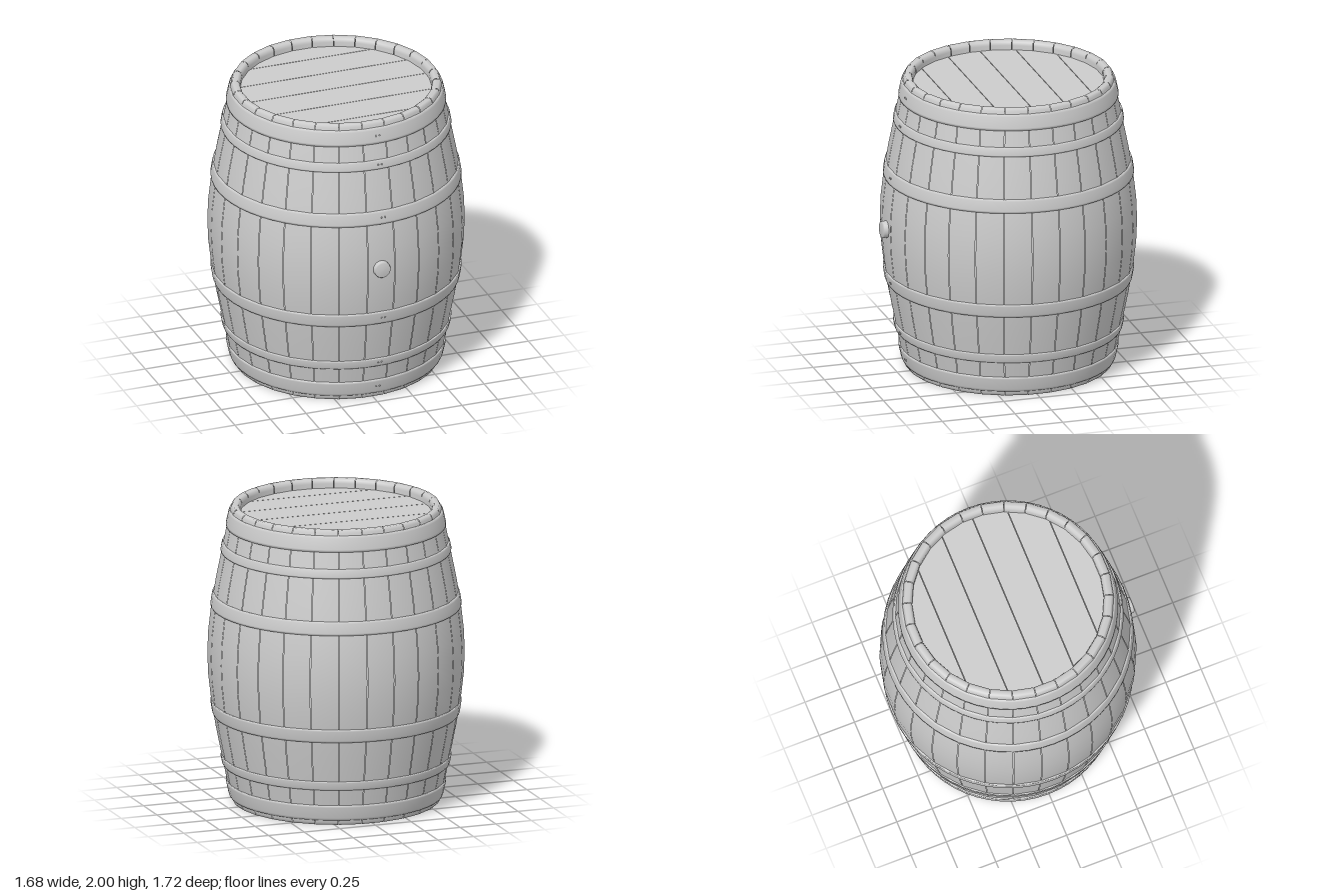
import * as THREE from 'three';

const STAVES = 28;
const LID_R = 0.635;
const AXIS_Z = -0.015;

// Outer stave radius by height: [y, radius], lower half mirrored to the upper half
const half = [[0.02, 0.692], [0.14, 0.718], [0.3, 0.75], [0.5, 0.79], [0.7, 0.822], [0.85, 0.839], [1, 0.845]];
const curve = [...half, ...half.slice(0, -1).reverse().map(([y, r]) => [2 - y, r])];

function radiusAt(y) {
  const i = Math.max(1, curve.findIndex(([cy]) => cy >= y));
  const [y0, r0] = curve[i - 1], [y1, r1] = curve[i];
  return r0 + (r1 - r0) * (y - y0) / (y1 - y0);
}

const points = list => list.map(([r, y]) => new THREE.Vector2(r, y));

export function createModel() {
  const model = new THREE.Group();
  model.name = 'barrel';
  const grey = new THREE.MeshStandardMaterial({ color: 0xcccccc });
  grey.name = 'plain grey';

  const barrel = new THREE.Group();
  barrel.name = 'barrelBody';
  barrel.position.z = AXIS_Z;
  model.add(barrel);

  const add = (name, geometry, parent = barrel) => {
    const mesh = new THREE.Mesh(geometry, grey);
    mesh.name = name;
    parent.add(mesh);
    return mesh;
  };

  // Staves: bowed wedges with rounded ends and a narrow seam between neighbours
  const staves = new THREE.Group();
  staves.name = 'staves';
  barrel.add(staves);
  const step = Math.PI * 2 / STAVES, gap = 0.005;
  const section = points([
    [0.63, 0.09], [0.63, 0.03], [0.637, 0.01], [0.65, 0], [0.68, 0],
    ...curve.map(([y, r]) => [r, y]),
    [0.68, 2], [0.65, 2], [0.637, 1.99], [0.63, 1.97], [0.63, 1.91],
  ]);
  const staveGeometry = new THREE.LatheGeometry(section, 1, (gap - step) / 2, step - gap);
  for (let i = 0; i < STAVES; i++) {
    add('stave', staveGeometry, staves).rotation.y = i * step;
  }

  // Core that closes the seams from behind
  const wall = curve.filter(([y]) => y > 0.1 && y < 1.9).map(([y, r]) => [r - 0.016, y]);
  add('core', new THREE.LatheGeometry(points([
    [0, 0.08], [0.66, 0.08], [0.67, 0.02], ...wall, [0.67, 1.98], [0.66, 1.92], [0, 1.92],
  ]), STAVES, step / 2));

  // Lids: planks cut to a circle
  const plankWidth = 0.232, plankGap = 0.002;
  function plankGeometry(from, to) {
    const shape = new THREE.Shape();
    const edge = z => Math.sqrt(Math.max(0, LID_R * LID_R - z * z));
    const n = 8, side = [];
    for (let i = 0; i <= n; i++) {
      // Steps spaced by angle keep the outline round
      const a0 = Math.asin(from / LID_R), a1 = Math.asin(to / LID_R);
      const z = LID_R * Math.sin(a0 + (a1 - a0) * i / n);
      side.push([edge(z), z]);
    }
    const outline = [...side, ...side.slice().reverse().map(([x, z]) => [-x, z])];
    shape.setFromPoints(points(outline));
    const geometry = new THREE.ExtrudeGeometry(shape, { depth: 0.04, bevelEnabled: false });
    return geometry.rotateX(-Math.PI / 2);
  }
  for (let i = -3; i < 3; i++) {
    const from = Math.max(-LID_R, i * plankWidth + plankGap);
    const to = Math.min(LID_R, (i + 1) * plankWidth - plankGap);
    const geometry = plankGeometry(from, to);
    add('topPlank', geometry).position.y = 1.9;
    add('bottomPlank', geometry).position.y = 0.06;
  }

  // Hoops: bands that follow the bow of the staves, with two rivets at the front
  const bands = [[0.035, 0.14], [0.25, 0.31], [0.59, 0.68]];
  for (const [y0, y1] of [...bands, ...bands.map(([a, b]) => [2 - b, 2 - a])]) {
    const hoop = new THREE.Group();
    hoop.name = 'hoop';
    barrel.add(hoop);
    const profile = [[radiusAt(y0) - 0.012, y0], [radiusAt(y0) + 0.005, y0]];
    for (const t of [0.15, 0.5, 0.85]) {
      const y = y0 + (y1 - y0) * t;
      profile.push([radiusAt(y) + 0.008, y]);
    }
    profile.push([radiusAt(y1) + 0.005, y1], [radiusAt(y1) - 0.012, y1]);
    add('hoopBand', new THREE.LatheGeometry(points(profile), STAVES * 2), hoop);
    const y = (y0 + y1) / 2;
    for (const x of [0.01, 0.035]) {
      add('rivet', new THREE.SphereGeometry(0.006, 8, 6), hoop).position.set(x, y, radiusAt(y) + 0.006);
    }
  }

  // Bung: tapered plug with a softened rim at the front
  const bung = add('bung', new THREE.LatheGeometry(points([
    [0.058, 0], [0.056, 0.06], [0.05, 0.07], [0, 0.071],
  ]), 24), model);
  bung.rotation.x = Math.PI / 2;
  bung.position.set(0, 1.005, 0.79);

  return model;
}
